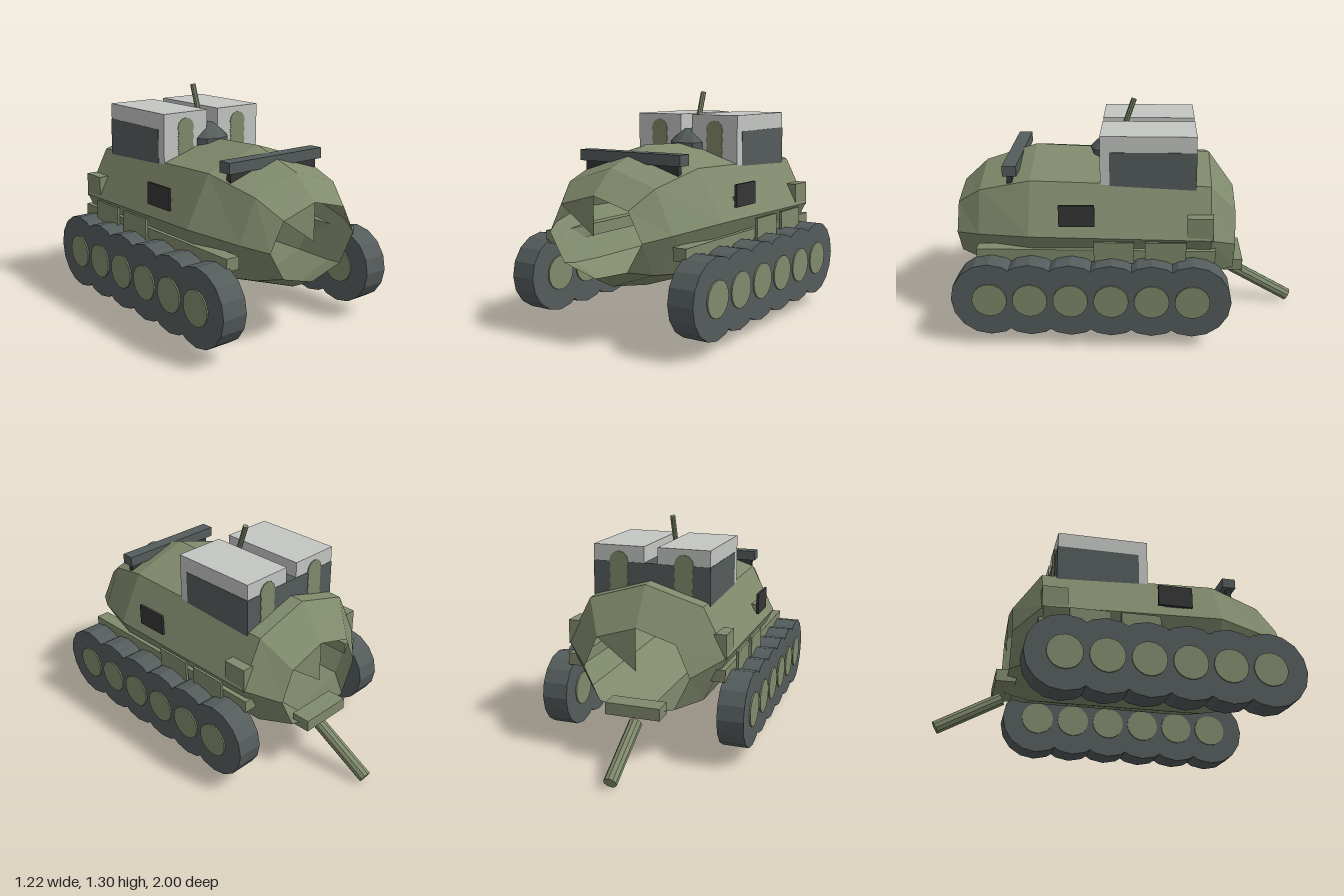
import * as THREE from 'three';

const mat = (name, color, extra = {}) => {
  const m = new THREE.MeshStandardMaterial({ color, flatShading: true, ...extra });
  m.name = name;
  return m;
};

export function createModel() {
  const root = new THREE.Group();
  const olive = mat('olive', 0x808a6c);
  const oliveShell = mat('oliveShell', 0x808a6c, { side: THREE.DoubleSide });
  const slate = mat('slate', 0x555c5c);
  const silver = mat('silver', 0xc4c6c3);
  const black = mat('black', 0x363636);

  const add = (name, geo, material) => {
    const m = new THREE.Mesh(geo, material);
    m.name = name;
    root.add(m);
    return m;
  };
  // box given by its limits on each axis
  const box = (name, x0, x1, y0, y1, z0, z1, material) => {
    const m = add(name, new THREE.BoxGeometry(x1 - x0, y1 - y0, z1 - z0), material);
    m.position.set((x0 + x1) / 2, (y0 + y1) / 2, (z0 + z1) / 2);
  };
  const sideBox = (name, x0, x1, ...rest) => {
    box(name, x0, x1, ...rest);
    box(name, -x1, -x0, ...rest);
  };
  // rod between two points
  const rod = (name, a, b, r, sides, material) => {
    const p = new THREE.Vector3(...a), q = new THREE.Vector3(...b);
    const m = add(name, new THREE.CylinderGeometry(r, r, p.distanceTo(q), sides), material);
    m.position.copy(p).lerp(q, 0.5);
    m.quaternion.setFromUnitVectors(new THREE.Vector3(0, 1, 0), q.sub(p).normalize());
  };

  // Hull: eight-sided rings, [z, top y, shoulder x, y, side x, y, lower x, y, bottom y]
  const rings = [
    [1.0, 0.79, 0.22, 0.73, 0.305, 0.575, 0.21, 0.42, 0.36],
    [0.86, 0.92, 0.285, 0.83, 0.39, 0.60, 0.27, 0.385, 0.29],
    [0.56, 1.02, 0.345, 0.91, 0.49, 0.63, 0.35, 0.35, 0.235],
    [-0.46, 0.98, 0.335, 0.88, 0.475, 0.61, 0.34, 0.35, 0.235],
    [-0.61, 0.77, 0.23, 0.70, 0.31, 0.52, 0.22, 0.33, 0.27],
  ].map(([z, t, ax, ay, bx, by, cx, cy, d]) => [
    [0, t, z], [ax, ay, z], [bx, by, z], [cx, cy, z],
    [0, d, z], [-cx, cy, z], [-bx, by, z], [-ax, ay, z],
  ]);
  const pts = [];
  for (let i = 0; i < rings.length - 1; i++) {
    for (let j = 0; j < 8; j++) {
      const k = (j + 1) % 8;
      const a = rings[i][j], b = rings[i][k], c = rings[i + 1][k], d = rings[i + 1][j];
      pts.push(...a, ...b, ...c, ...a, ...c, ...d);
    }
  }
  // single flaps in the open ends
  const first = rings[0], last = rings[4];
  pts.push(0, 0.58, 1, ...first[0], ...first[7]);
  pts.push(0, 0.525, -0.61, ...last[0], ...last[1]);
  const hull = new THREE.BufferGeometry();
  hull.setAttribute('position', new THREE.Float32BufferAttribute(pts, 3));
  hull.computeVertexNormals();
  add('hull', hull, oliveShell);

  // Running gear: overlapping wide rollers with hub discs
  for (const s of [-1, 1]) {
    for (let i = 0; i < 6; i++) {
      const z = 0.777 - i * 0.227;
      const tread = add('trackRoller', new THREE.CylinderGeometry(0.217, 0.217, 0.15, 16), slate);
      tread.rotation.z = Math.PI / 2;
      tread.position.set(s * 0.525, 0.292, z);
      const hub = add('wheelHub', new THREE.CylinderGeometry(0.098, 0.098, 0.166, 20), olive);
      hub.rotation.z = Math.PI / 2;
      hub.position.set(s * 0.525, 0.292, z);
    }
  }

  // Side fittings
  sideBox('sideRail', 0.39, 0.47, 0.475, 0.545, -0.485, 0.86, olive);
  sideBox('sidePlate', 0.484, 0.499, 0.48, 0.605, -0.03, 0.195, olive);
  sideBox('sidePlate', 0.484, 0.499, 0.48, 0.605, -0.32, -0.09, olive);
  sideBox('rearLocker', 0.40, 0.47, 0.60, 0.74, -0.47, -0.325, olive);
  sideBox('sideHatch', 0.465, 0.48, 0.69, 0.815, 0.19, 0.39, black);
  sideBox('hatchMount', 0.41, 0.465, 0.695, 0.74, 0.23, 0.35, olive);

  // Cross bar on the front deck
  box('crossBar', -0.335, 0.335, 0.93, 0.99, 0.635, 0.715, slate);
  box('crossBarMount', -0.31, 0.31, 0.875, 0.93, 0.665, 0.695, black);

  // Twin deck pods on a dark core
  sideBox('podShell', 0.04, 0.345, 0.79, 1.172, -0.373, 0.165, silver);
  box('podCore', -0.347, 0.347, 0.78, 1.08, -0.375, 0.112, slate);
  sideBox('podBase', 0.05, 0.33, 0.71, 0.78, -0.37, 0.11, slate);
  for (const x of [-0.193, 0.193]) {
    for (const y of [1.083, 1.027, 0.971, 0.915]) {
      rod('podTube', [x, y, -0.378], [x, y, 0.168], 0.057, 12, olive);
    }
  }

  // Dome and thin gun
  const dome = add('dome', new THREE.LatheGeometry([
    [0.13, 0.9], [0.13, 1.01], [0.09, 1.05], [0.042, 1.085], [0, 1.09],
  ].map(p => new THREE.Vector2(...p)), 10), slate);
  dome.position.z = 0.11;
  rod('gun', [0, 1.0, 0.085], [0, 1.296, -0.017], 0.016, 8, olive);

  // Rear bumper and trailing spade arm
  box('rearBumper', -0.16, 0.16, 0.28, 0.35, -0.675, -0.56, olive);
  rod('trailArm', [0, 0.232, -0.627], [0, 0.034, -0.982], 0.038, 10, olive);
  return root;
}
